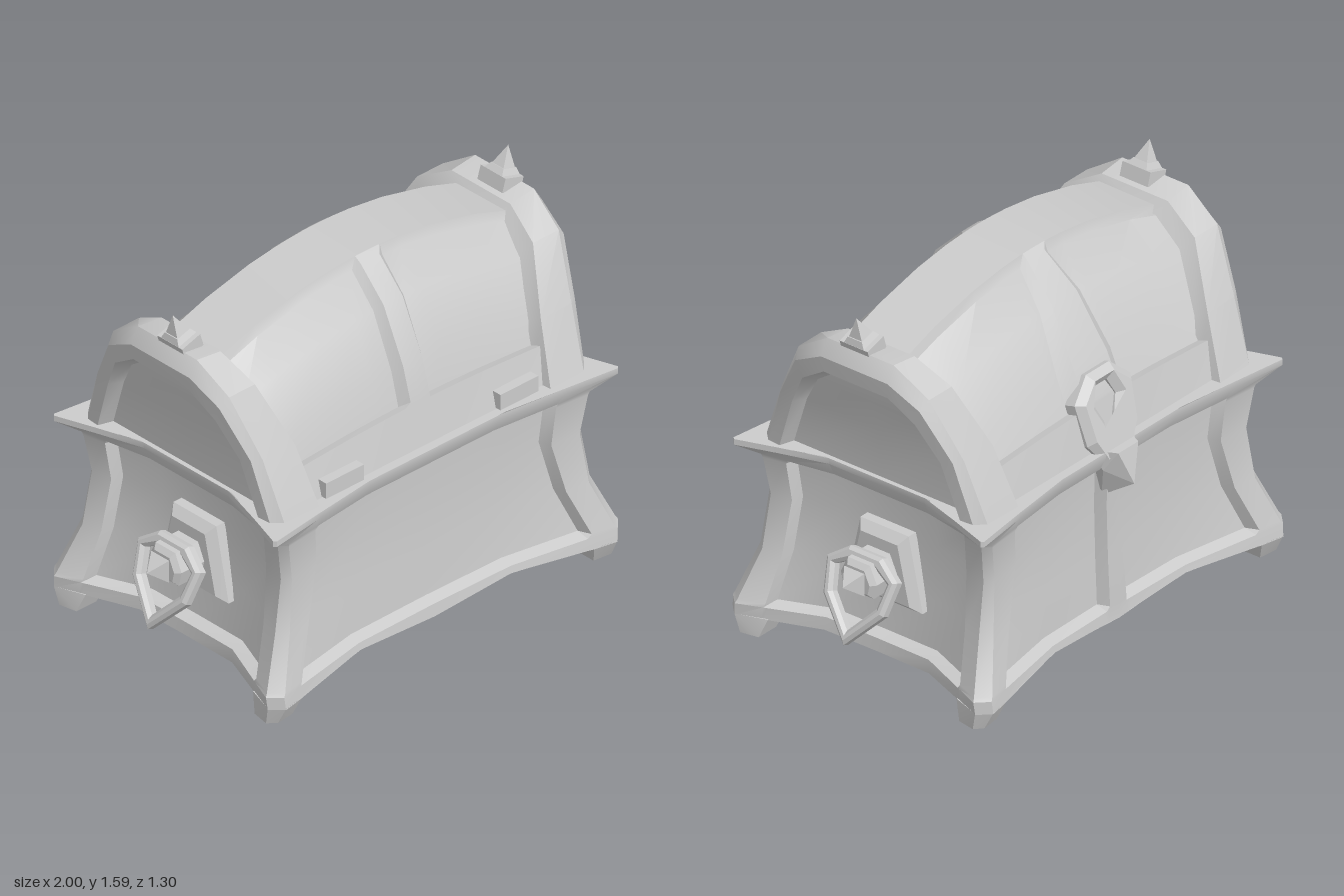
import * as THREE from 'three';
import { toCreasedNormals } from 'three/addons/utils/BufferGeometryUtils.js';
import { ConvexGeometry } from 'three/addons/geometries/ConvexGeometry.js';

const material = new THREE.MeshStandardMaterial({ color: 0xcccccc, side: THREE.DoubleSide });

function mesh(name, geometry, parent, crease = 0.5) {
  const m = new THREE.Mesh(toCreasedNormals(geometry, crease), material);
  m.name = name;
  parent.add(m);
  return m;
}

// Surface through a grid of points: point(row, column) returns [x, y, z]
function grid(nRows, nCols, point) {
  const pos = [], index = [];
  for (let r = 0; r < nRows; r++) {
    for (let c = 0; c < nCols; c++) {
      pos.push(...point(r, c));
      if (r && c) {
        const d = r * nCols + c, b = d - nCols;
        index.push(b - 1, b, d, b - 1, d, d - 1);
      }
    }
  }
  const g = new THREE.BufferGeometry();
  g.setAttribute('position', new THREE.Float32BufferAttribute(pos, 3));
  g.setIndex(index);
  return g;
}

const v2 = (list) => list.map(([x, y]) => new THREE.Vector2(x, y));
const mirrored = (list) => [...list, ...list.filter(([x]) => x !== 0).reverse().map(([x, y]) => [-x, y])];
const hull = (list) => new ConvexGeometry(list.map((p) => new THREE.Vector3(...p)));

function plate(outline, hole, depth, bevel) {
  const shape = new THREE.Shape(v2(outline));
  if (hole) shape.holes.push(new THREE.Path(v2(hole)));
  return new THREE.ExtrudeGeometry(shape, {
    depth, bevelEnabled: true, bevelSegments: 1, bevelSize: bevel, bevelThickness: bevel, bevelOffset: -bevel,
  });
}

// Body levels: y, corner x, corner z, middle x, middle z, panel half width, panel half depth, chamfer, recessed
const LEVELS = [
  [0.075, 0.925, 0.65, 0.79, 0.555, 0.77, 0.5, 0.05, 0],
  [0.13, 0.93, 0.645, 0.785, 0.55, 0.77, 0.49, 0.05, 0],
  [0.145, 0.92, 0.64, 0.78, 0.55, 0.765, 0.485, 0.05, 1],
  [0.35, 0.83, 0.58, 0.76, 0.535, 0.68, 0.455, 0.04, 1],
  [0.58, 0.79, 0.56, 0.75, 0.525, 0.62, 0.435, 0.03, 1],
  [0.75, 0.82, 0.575, 0.76, 0.53, 0.635, 0.445, 0.03, 1],
  [0.765, 0.825, 0.58, 0.765, 0.53, 0.64, 0.45, 0.03, 0],
  [0.82, 0.91, 0.625, 0.79, 0.555, 0.66, 0.46, 0.01, 0],
  [0.845, 0.91, 0.625, 0.79, 0.555, 0.66, 0.46, 0.01, 0],
];

// Walls are straight in the middle and flare out towards the corners
const flare = (f) => Math.max(0, (Math.abs(f) - 0.42) / 0.58);
const wave = (f) => 0.025 * Math.sin(Math.PI * Math.min(1, Math.abs(f) / 0.9));

// Panel columns: fraction of the panel half width, recessed
const half = [[1, 0], [0.97, 1], [0.52, 1]];
const mirrorCols = (cols, middle) => [...cols.map(([f, i]) => [-f, i]), ...middle, ...[...cols].reverse()];
const PLAIN = mirrorCols(half, [[0, 1]]);
const DIVIDED = mirrorCols([...half, [0.09, 1], [0.065, 0]], [[0, 0]]);

function bodyFace(cols, isSide) {
  const n = cols.length + 3;
  return grid(LEVELS.length, n, (r, c) => {
    const [y, X, Z, xm, zm, px, pz, ch, rowIn] = LEVELS[r];
    const [W, D, m, p] = isSide ? [Z, X, xm, pz] : [X, Z, zm, px];
    const E = W - ch;
    if (c === n - 1) return [W, y, D - ch]; // corner chamfer
    const edge = c === 0 || c === n - 2;
    const u = edge ? (c ? E : -E) : cols[c - 1][0] * p;
    const recess = !edge && rowIn && cols[c - 1][1] ? 0.05 : 0;
    const lift = r === 0 && !isSide ? wave(u / E) : 0;
    return [u, y + lift, m + (D - m) * flare(u / E) - recess];
  });
}

// Flat face closing the body outline, fanned to its centre
function cap(level, wavy) {
  const [y, X, Z, xm, zm, , , ch] = LEVELS[level];
  const ring = [];
  for (const [W, D, m, turn] of [[X, Z, zm, 0], [Z, X, xm, 1], [X, Z, zm, 2], [Z, X, xm, 3]]) {
    for (const f of [-1, -0.7, -0.42, 0, 0.42, 0.7, 1]) {
      const lift = wavy && turn % 2 === 0 ? wave(f) : 0;
      const p = new THREE.Vector3(f * (W - ch), y + lift, m + (D - m) * flare(f));
      ring.push(p.applyAxisAngle(new THREE.Vector3(0, 1, 0), turn * Math.PI / 2).toArray());
    }
  }
  return grid(2, ring.length + 1, (r, c) => (r ? [0, y, 0] : ring[c % ring.length]));
}

// Lid profile from front to back: z, y, recessed, strip widening at the lock
const LID = [
  [0.515, 0.845, 0, 1], [0.475, 1.02, 0, 1], [0.472, 1.035, 1, 1], [0.43, 1.18, 1, 1],
  [0.32, 1.41, 1, 1], [0.19, 1.54, 1, 1], [0.16, 1.558, 0, 1],
  [-0.115, 1.555, 0, 1], [-0.14, 1.535, 1, 1.05], [-0.28, 1.4, 1, 1.5], [-0.41, 1.17, 1, 2],
  [-0.472, 1.035, 1, 2], [-0.475, 1.02, 0, 2], [-0.515, 0.845, 0, 2],
];

function lidGeometry() {
  const cols = mirrorCols([[0.76, 1], [0.58, 1], [0.35, 1], [0.18, 1], [0.08, 1], [0.05, 0]], [[0, 0]]);
  return grid(LID.length, cols.length, (r, c) => {
    const [z, y, rowIn, widen] = LID[r];
    const [f, colIn] = cols[c];
    const x = f * (Math.abs(f) < 0.1 ? widen : 1);
    const inset = rowIn && colIn;
    const h = (y - 0.845) * (1 - 0.19 * (x / 0.73) ** 2);
    return [x, 0.845 + h - (inset ? 0.025 : 0), z * (inset ? 0.92 : 1)];
  });
}

// End arch layers: x at the foot, x at the top, then z and y of four stations
const ARCH = [
  [0.60, 0.72, [[0.45, 0.845], [0.41, 1.08], [0.28, 1.3], [0.14, 1.39]]],
  [0.61, 0.765, [[0.555, 0.845], [0.46, 1.1], [0.325, 1.35], [0.165, 1.44]]],
  [0.79, 0.89, [[0.55, 0.845], [0.455, 1.1], [0.325, 1.35], [0.165, 1.455]]],
  [0.83, 0.93, [[0.51, 0.845], [0.43, 1.1], [0.31, 1.31], [0.165, 1.39]]],
  [0.835, 0.92, [[0.45, 0.845], [0.37, 1.08], [0.28, 1.24], [0.16, 1.32]]],
  [0.77, 0.85, [[0.43, 0.845], [0.35, 1.07], [0.26, 1.21], [0.15, 1.29]]],
  [0.77, 0.85, [[0, 0.845], [0, 1.07], [0, 1.21], [0, 1.29]]],
];
const LEAN = [0, 0.25, 0.8, 1];

function archGeometry() {
  return grid(ARCH.length, 8, (r, c) => {
    const [x0, x1, path] = ARCH[r];
    const k = c < 4 ? c : 7 - c;
    return [x0 + (x1 - x0) * LEAN[k], path[k][1], path[k][0] * (c < 4 ? 1 : -1)];
  });
}

function pyramid(radius, height) {
  return new THREE.ConeGeometry(radius * Math.SQRT2, height, 4, 1).rotateY(Math.PI / 4);
}

// One end of the chest: arch, spike and ring handle, facing +x
function createEnd(sign) {
  const end = new THREE.Group();
  end.name = sign > 0 ? 'leftEnd' : 'rightEnd';
  mesh('lidArch', archGeometry(), end);

  const spike = new THREE.Group();
  spike.name = 'archSpike';
  spike.position.set(0.845, 1.46, 0.025 * sign);
  spike.rotation.z = -0.3;
  mesh('spikeBase', new THREE.BoxGeometry(0.1, 0.06, 0.14), spike, 0.1);
  mesh('spikeCollar', new THREE.CylinderGeometry(0.05, 0.07, 0.025, 4).rotateY(Math.PI / 4), spike, 0.1).position.y = 0.042;
  mesh('spikePoint', pyramid(0.034, 0.09), spike, 0.1).position.y = 0.093;
  end.add(spike);

  const handle = new THREE.Group();
  handle.name = 'handle';
  handle.rotation.y = Math.PI / 2;
  mesh('handlePlate', plate([[-0.19, 0.29], [0.19, 0.29], [0.12, 0.61], [-0.12, 0.61]], null, 0.05, 0.035), handle, 0.1).position.z = 0.695;
  mesh('handleBoss', plate(mirrored([[0.075, 0.385], [0.09, 0.45], [0.055, 0.525]]), null, 0.15, 0.02), handle, 0.1).position.z = 0.75;
  mesh('handleStud', pyramid(0.05, 0.07).rotateX(Math.PI / 2), handle, 0.1).position.set(0, 0.45, 0.963);
  const ring = mesh('handleRing', plate(
    mirrored([[0, -0.38], [0.15, -0.215], [0.175, -0.07], [0.08, 0]]),
    mirrored([[0, -0.32], [0.11, -0.195], [0.13, -0.09], [0.06, -0.05]]), 0.03, 0.014), handle, 0.1);
  ring.position.set(0, 0.535, 0.825);
  ring.rotation.x = -0.38;
  end.add(handle);

  if (sign < 0) end.rotation.y = Math.PI;
  return end;
}

function createLock() {
  const lock = new THREE.Group();
  lock.name = 'lock';
  lock.rotation.y = Math.PI;
  const outline = mirrored([[0.06, -0.2], [0.15, -0.08], [0.168, 0.1], [0.07, 0.19]]);
  const keyhole = mirrored([[0.045, -0.13], [0.03, -0.02], [0.065, 0.06], [0.035, 0.13]]);
  const face = new THREE.Group();
  face.position.set(0, 0.95, 0.45);
  face.rotation.x = -0.28;
  face.name = 'lockFace';
  mesh('keyholePlate', plate(outline, keyhole, 0.05, 0.03), face, 0.1);
  mesh('keyholeBack', new THREE.BoxGeometry(0.2, 0.3, 0.04), face, 0.1).position.z = 0.015;
  lock.add(face);
  const sides = [1, -1].flatMap((k) => [
    [0.11 * k, 0.85, 0.5], [0.06 * k, 0.85, 0.6], [0.08 * k, 0.76, 0.54], [0.04 * k, 0.62, 0.5],
  ]);
  mesh('lockWedge', hull([...sides, [0, 0.7, 0.63]]), lock, 0.1);
  return lock;
}

export function createModel() {
  const chest = new THREE.Group();
  chest.name = 'chest';

  // Body walls with recessed panels; the lock wall has a middle post
  ['frontWall', 'leftWall', 'backWall', 'rightWall'].forEach((name, i) => {
    mesh(name, bodyFace(i === 2 ? DIVIDED : PLAIN, i % 2 === 1), chest).rotation.y = i * Math.PI / 2;
  });
  mesh('bottom', cap(0, true), chest);
  mesh('rimTop', cap(LEVELS.length - 1, false), chest);

  // Tapered corner feet
  for (const sx of [1, -1]) for (const sz of [1, -1]) {
    const low = [[0.795, 0.5], [0.9, 0.5], [0.915, 0.58], [0.88, 0.61], [0.795, 0.6]].map(([x, z]) => [x * sx, 0, z * sz]);
    const high = [[0.76, 0.47], [0.88, 0.47], [0.925, 0.6], [0.875, 0.65], [0.77, 0.63]].map(([x, z]) => [x * sx, 0.08, z * sz]);
    mesh('foot', hull([...low, ...high]), chest, 0.3);
  }

  mesh('lid', lidGeometry(), chest);
  for (const sign of [1, -1]) {
    chest.add(createEnd(sign));
    mesh('hinge', new THREE.BoxGeometry(0.2, 0.07, 0.05), chest, 0.1).position.set(0.46 * sign, 0.885, 0.515);
  }
  chest.add(createLock());
  return chest;
}
